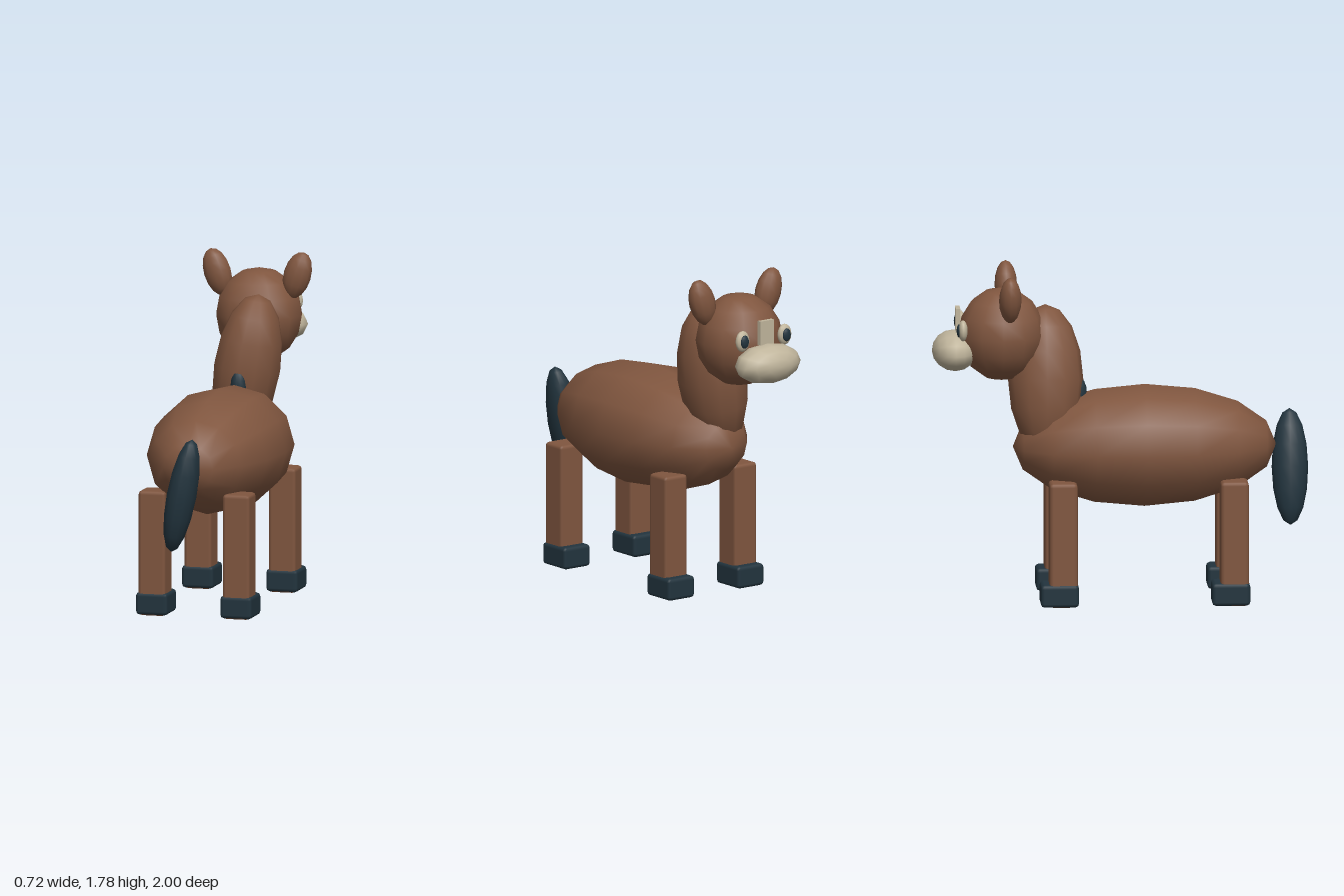
import * as THREE from 'three';
import { RoundedBoxGeometry } from 'three/addons/geometries/RoundedBoxGeometry.js';

const coat = new THREE.MeshStandardMaterial({ color: 0x80563f });
const dark = new THREE.MeshStandardMaterial({ color: 0x22343e });
const cream = new THREE.MeshStandardMaterial({ color: 0xc0b59c });

export function createModel() {
  const model = new THREE.Group();

  const add = (name, geometry, material, position, tilt = 0) => {
    const mesh = new THREE.Mesh(geometry, material);
    mesh.name = name;
    mesh.position.set(...position);
    mesh.rotation.z = tilt;
    model.add(mesh);
    return mesh;
  };

  // Low-poly ellipsoid, optionally with its poles along z
  const ellipsoid = (name, radii, material, position, tilt = 0, polesOnZ = false) => {
    const geometry = new THREE.SphereGeometry(1, 12, 8);
    if (polesOnZ) geometry.rotateX(Math.PI / 2);
    geometry.scale(...radii);
    return add(name, geometry, material, position, tilt);
  };

  // Body, neck and head
  ellipsoid('body', [0.36, 0.33, 0.7], coat, [0, 0.82, 0.13], 0, true);
  ellipsoid('neck', [0.18, 0.4, 0.2], coat, [0, 1.18, -0.395], -0.16);
  ellipsoid('head', [0.235, 0.25, 0.23], coat, [0, 1.43, -0.63]);
  ellipsoid('muzzle', [0.2, 0.108, 0.12], cream, [0, 1.343, -0.88], 0, true);

  // Mane tuft and tail
  ellipsoid('mane', [0.045, 0.1, 0.055], dark, [0, 1.1, -0.23]);
  ellipsoid('tail', [0.08, 0.31, 0.097], dark, [0, 0.695, 0.903], -0.19);

  // Blaze on the forehead
  add('blaze', new THREE.BoxGeometry(0.09, 0.13, 0.025), cream, [0, 1.51, -0.863]);

  for (const [side, s] of [['left', 1], ['right', -1]]) {
    // Ears and eyes
    ellipsoid(side + 'Ear', [0.075, 0.13, 0.06], coat, [s * 0.22, 1.652, -0.595], -s * 0.3);
    ellipsoid(side + 'Eye', [0.043, 0.057, 0.025], cream, [s * 0.14, 1.475, -0.842]);
    ellipsoid(side + 'Pupil', [0.026, 0.036, 0.014], dark, [s * 0.14, 1.475, -0.862]);

    // Legs and hooves
    for (const [end, z] of [['Front', -0.315], ['Rear', 0.595]]) {
      add(side + end + 'Leg', new RoundedBoxGeometry(0.15, 0.67, 0.15, 1, 0.02),
        coat, [s * 0.232, 0.335, z]);
      add(side + end + 'Hoof', new RoundedBoxGeometry(0.175, 0.12, 0.203, 1, 0.02),
        dark, [s * 0.232, 0.064, z - 0.02]);
    }
  }

  return model;
}
